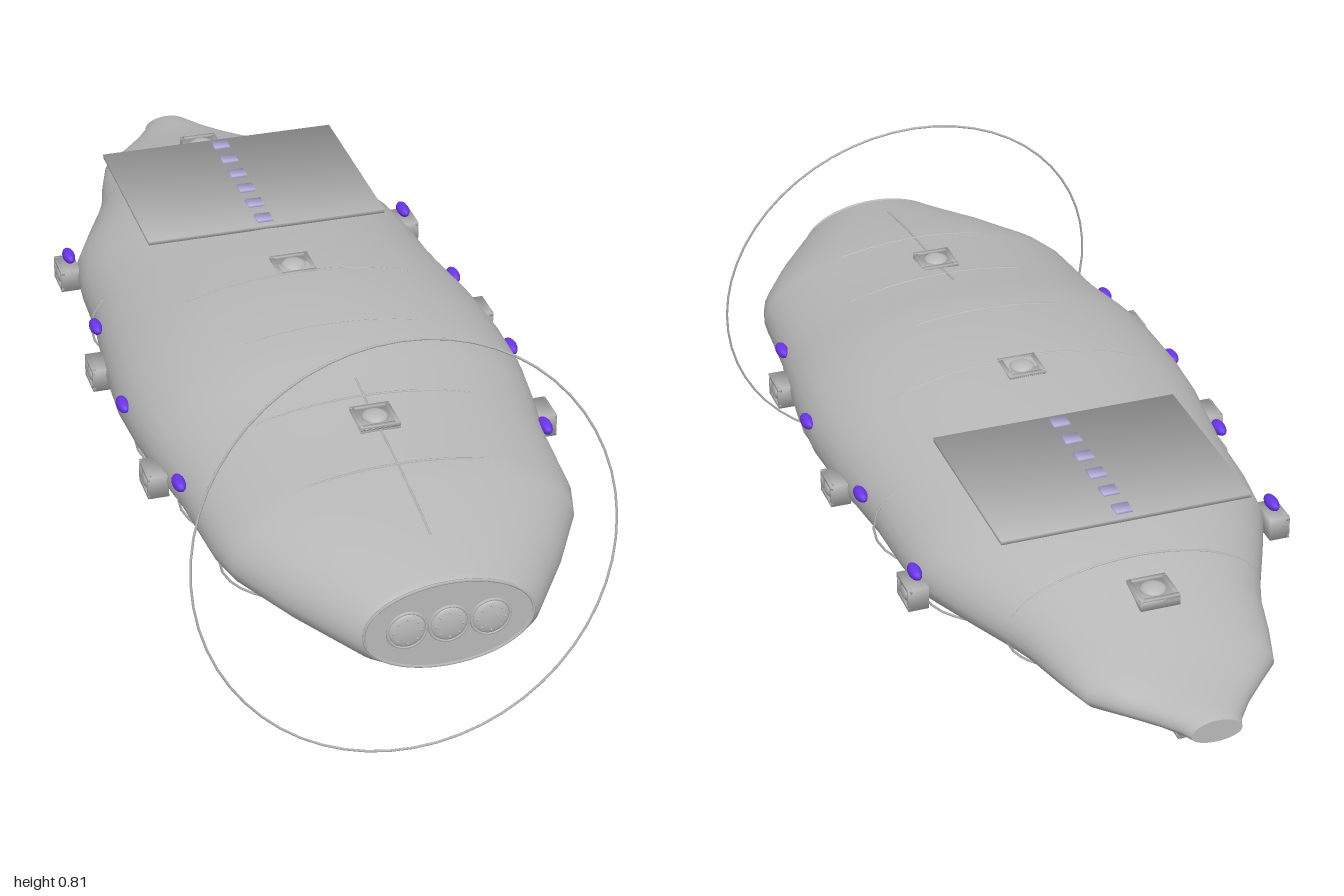
import * as THREE from 'three';

const mat = (name, color) => {
  const m = new THREE.MeshStandardMaterial({ color });
  m.name = name;
  return m;
};

// Hull stations: z, half width, top y, bottom y
const STATIONS = [
  [0.992, 0.157, 0.494, 0.321], [0.978, 0.174, 0.501, 0.317], [0.85, 0.262, 0.527, 0.314],
  [0.74, 0.325, 0.545, 0.314], [0.68, 0.342, 0.552, 0.313], [0.5, 0.356, 0.568, 0.305],
  [0.38, 0.375, 0.588, 0.298], [0.28, 0.388, 0.6, 0.293], [0.15, 0.393, 0.601, 0.285],
  [0.02, 0.385, 0.599, 0.288], [-0.17, 0.362, 0.58, 0.294], [-0.3, 0.357, 0.57, 0.299],
  [-0.4, 0.345, 0.56, 0.304], [-0.5, 0.3, 0.547, 0.311], [-0.6, 0.253, 0.528, 0.32],
  [-0.66, 0.23, 0.51, 0.328], [-0.75, 0.207, 0.487, 0.341], [-0.83, 0.182, 0.464, 0.353],
  [-0.88, 0.135, 0.452, 0.362], [-0.93, 0.09, 0.443, 0.37], [-0.975, 0.058, 0.436, 0.377],
  [-1, 0.048, 0.428, 0.383],
];
const NOSE_Z = STATIONS[0][0];

// Hull measurements at any z
function hullAt(z) {
  let i = 0;
  while (i < STATIONS.length - 2 && STATIONS[i + 1][0] > z) i++;
  const a = STATIONS[i], b = STATIONS[i + 1], t = (a[0] - z) / (a[0] - b[0]);
  const [hw, top, bottom] = [1, 2, 3].map((k) => THREE.MathUtils.lerp(a[k], b[k], t));
  return { hw, top, bottom, mid: bottom + 0.43 * (top - bottom) };
}

function hullPoint(z, angle) {
  const h = hullAt(z), s = Math.sin(angle);
  return [h.hw * Math.cos(angle), h.mid + s * (s > 0 ? h.top - h.mid : h.mid - h.bottom), z];
}

// Smooth skin lofted through the stations
function hullGeometry(n = 48) {
  const pos = [], idx = [];
  STATIONS.forEach(([z], i) => {
    for (let j = 0; j < n; j++) {
      pos.push(...hullPoint(z, (j / n) * Math.PI * 2));
      if (i === STATIONS.length - 1) continue;
      const a = i * n + j, b = i * n + ((j + 1) % n);
      idx.push(a, a + n, b, b, a + n, b + n);
    }
  });
  const g = new THREE.BufferGeometry();
  g.setAttribute('position', new THREE.Float32BufferAttribute(pos, 3));
  g.setIndex(idx);
  g.computeVertexNormals();
  return g;
}

// Flat end face closing the hull
function capGeometry(z, n = 48) {
  const shape = new THREE.Shape();
  for (let j = 0; j < n; j++) {
    const [x, y] = hullPoint(z, (j / n) * Math.PI * 2);
    j ? shape.lineTo(x, y) : shape.moveTo(x, y);
  }
  const g = new THREE.ShapeGeometry(shape);
  if (z < 0) g.rotateY(Math.PI);
  return g.translate(0, 0, z);
}

// Thin elliptical hoop in the xy plane
function hoop(rx, ry, r) {
  const pts = [];
  for (let i = 0; i < 28; i++) {
    const a = (i / 28) * Math.PI * 2;
    pts.push(new THREE.Vector3(rx * Math.cos(a), ry * Math.sin(a), 0));
  }
  const curve = new THREE.CatmullRomCurve3(pts, true);
  return new THREE.TubeGeometry(curve, 56, r, 5, true);
}

// Box with smooth shading: every corner normal points diagonally outward
function softBox(w, h, d) {
  const g = new THREE.BoxGeometry(w, h, d), p = g.attributes.position;
  const n = new THREE.Vector3();
  for (let i = 0; i < p.count; i++) {
    n.set(Math.sign(p.getX(i)), Math.sign(p.getY(i)), Math.sign(p.getZ(i))).normalize();
    g.attributes.normal.setXYZ(i, n.x, n.y, n.z);
  }
  return g;
}

export function createModel() {
  const model = new THREE.Group();
  const grey = mat('hull grey', 0xb8b8b8);
  const purple = mat('purple light', 0x6a35ea);
  const lavender = mat('pale lavender', 0xbcb4e4);

  const add = (parent, name, geo, material, x = 0, y = 0, z = 0) => {
    const m = new THREE.Mesh(geo, material);
    m.name = name;
    m.position.set(x, y, z);
    parent.add(m);
    return m;
  };

  // Hull and its end faces
  add(model, 'hull', hullGeometry(), grey);
  add(model, 'noseFace', capGeometry(NOSE_Z), grey);
  add(model, 'tailFace', capGeometry(-1), grey);
  add(model, 'noseRim', hoop(0.157, 0.087, 0.003), grey, 0, 0.407, NOSE_Z);

  // Three bolted ports on the nose
  for (const x of [-0.077, 0, 0.077]) {
    const port = new THREE.Group();
    port.name = 'nosePort';
    port.position.set(x, 0.407, NOSE_Z);
    add(port, 'portRim', new THREE.TorusGeometry(0.036, 0.003, 6, 28), grey);
    const dome = add(port, 'portDome', new THREE.SphereGeometry(0.034, 24, 12), grey);
    dome.scale.z = 0.22;
    for (let i = 0; i < 8; i++) {
      const a = (i / 8) * Math.PI * 2;
      add(port, 'bolt', new THREE.SphereGeometry(0.0025, 6, 4), grey, 0.025 * Math.cos(a), 0.025 * Math.sin(a), 0.005);
    }
    model.add(port);
  }

  // Large tilted hoop around the nose
  const ring = add(model, 'noseHoop', hoop(0.404, 0.407, 0.0025), grey, 0, 0.406, 0.752);
  ring.rotation.x = -Math.atan2(0.0625, 0.403);

  // Hull ribs: z, centre y, half width, half height
  for (const [z, y, rx, ry] of [
    [0.69, 0.406, 0.335, 0.145], [0.48, 0.413, 0.357, 0.158], [0.26, 0.418, 0.385, 0.181],
    [0.05, 0.417, 0.383, 0.182], [-0.17, 0.41, 0.368, 0.162], [-0.385, 0.41, 0.345, 0.149],
    [-0.6, 0.41, 0.25, 0.118],
  ]) add(model, 'rib', hoop(rx, ry, 0.0025), grey, 0, y, z);

  // Spine line along the front deck
  const spine = [0.88, 0.8, 0.7, 0.6, 0.5, 0.43].map((z) => new THREE.Vector3(0, hullAt(z).top, z));
  add(model, 'spine', new THREE.TubeGeometry(new THREE.CatmullRomCurve3(spine), 24, 0.0025, 5), grey);

  // Pod with a square frame and a dome; its own +y points away from the hull
  function addPod(name, w, d, h) {
    const pod = new THREE.Group();
    pod.name = name;
    add(pod, 'podBase', softBox(w, h, d), grey);
    for (const k of [-1, 1]) {
      add(pod, 'podFrame', softBox(w, 0.008, 0.008), grey, 0, h / 2, k * (d / 2 - 0.004));
      add(pod, 'podFrame', softBox(0.008, 0.008, d), grey, k * (w / 2 - 0.004), h / 2, 0);
    }
    const dome = add(pod, 'podDome', new THREE.SphereGeometry(Math.min(w, d) * 0.33, 16, 10), grey, 0, h / 2, 0);
    dome.scale.y = 0.4;
    model.add(pod);
    return pod;
  }

  // Side pods and side lights
  for (const side of [-1, 1]) {
    for (const [z, x] of [[0.4, 0.38], [0, 0.39], [-0.4, 0.362]]) {
      const pod = addPod('sidePod', 0.046, 0.07, 0.036);
      pod.position.set(side * x, 0.41, z);
      pod.rotation.z = -side * Math.PI / 2;
    }
    for (const [z, x] of [[0.49, 0.357], [0.195, 0.391], [-0.105, 0.373], [-0.4, 0.36]]) {
      const light = add(model, 'sideLight', new THREE.SphereGeometry(0.0125, 16, 12), purple, side * x, 0.45, z);
      light.scale.z = 2.1;
    }
  }

  // Deck hatches
  for (const [z, y] of [[0.55, 0.559], [0.015, 0.588], [-0.69, 0.502]]) {
    addPod('deckHatch', 0.076, 0.076, 0.018).position.set(0, y, z);
  }

  // Belly pods
  for (const [z, y, h] of [[0.38, 0.296, 0.016], [-0.41, 0.304, 0.016], [-0.86, 0.34, 0.04]]) {
    const pod = addPod('bellyPod', 0.05, 0.05, h);
    pod.position.set(0, y, z);
    pod.rotation.z = Math.PI;
  }

  // Rear deck panel with a row of small markers
  add(model, 'deckPanel', softBox(0.49, 0.008, 0.39), grey, 0, 0.583, -0.365);
  for (let i = 0; i < 6; i++) {
    add(model, 'panelMarker', softBox(0.032, 0.008, 0.03), lavender, 0, 0.588, -0.2 - i * 0.066);
  }

  return model;
}
